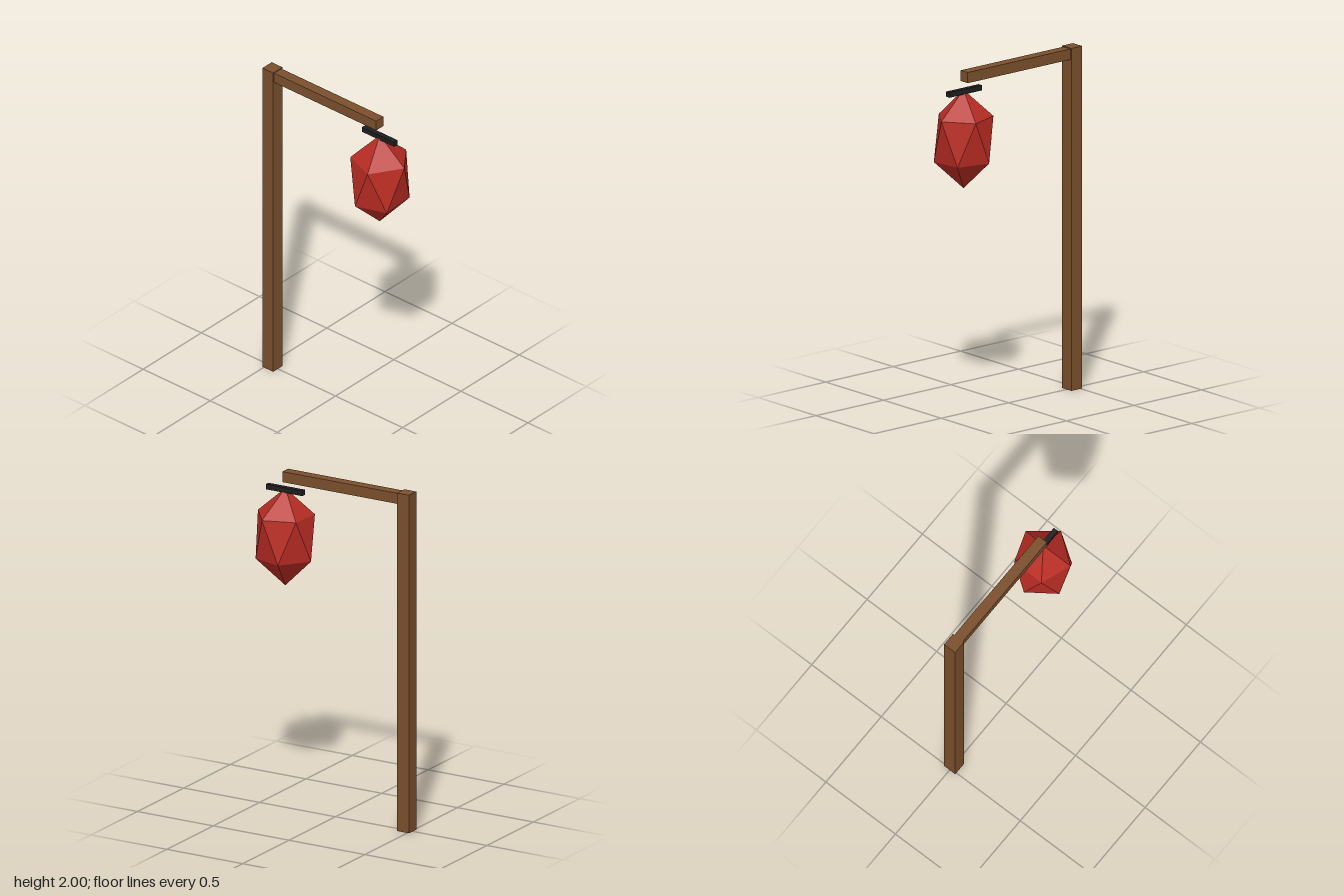
import * as THREE from 'three';

const wood = new THREE.MeshStandardMaterial({ color: 0x7a4f2c });
wood.name = 'brown wood';
const red = new THREE.MeshStandardMaterial({ color: 0xb82c23, flatShading: true });
red.name = 'red leather';
const black = new THREE.MeshStandardMaterial({ color: 0x1e1e1f });
black.name = 'black metal';

function box(name, material, size, position) {
  const mesh = new THREE.Mesh(new THREE.BoxGeometry(...size), material);
  mesh.name = name;
  mesh.position.set(...position);
  return mesh;
}

// Stretched, slightly uneven icosahedron: two poles and two staggered rings of five
function bagGeometry() {
  const top = [0.332, 1.888, 0.003];
  const bottom = [0.332, 1.313, 0.003];
  const upper = [
    [0.506, 1.734, -0.008], [0.379, 1.723, 0.162], [0.195, 1.73, 0.098],
    [0.199, 1.733, -0.1], [0.384, 1.733, -0.164],
  ];
  const lower = [
    [0.469, 1.47, 0.1], [0.282, 1.467, 0.158], [0.161, 1.482, 0.0],
    [0.282, 1.482, -0.16], [0.465, 1.477, -0.1],
  ];
  const points = [];
  for (let i = 0; i < 5; i++) {
    const j = (i + 1) % 5;
    points.push(
      top, upper[j], upper[i],
      upper[i], upper[j], lower[i],
      lower[i], upper[j], lower[j],
      lower[i], lower[j], bottom,
    );
  }
  const geometry = new THREE.BufferGeometry();
  geometry.setAttribute('position', new THREE.Float32BufferAttribute(points.flat(), 3));
  geometry.computeVertexNormals();
  return geometry;
}

export function createModel() {
  const model = new THREE.Group();
  model.name = 'hangingBagStand';

  // Wooden stand
  model.add(box('post', wood, [0.08, 2, 0.08], [-0.47, 1, 0]));
  model.add(box('beam', wood, [0.76, 0.062, 0.062], [-0.05, 1.964, 0]));

  // Bar and the bag below it
  model.add(box('hangerBar', black, [0.24, 0.03, 0.03], [0.33, 1.881, 0]));
  const bag = new THREE.Mesh(bagGeometry(), red);
  bag.name = 'bag';
  model.add(bag);

  return model;
}
